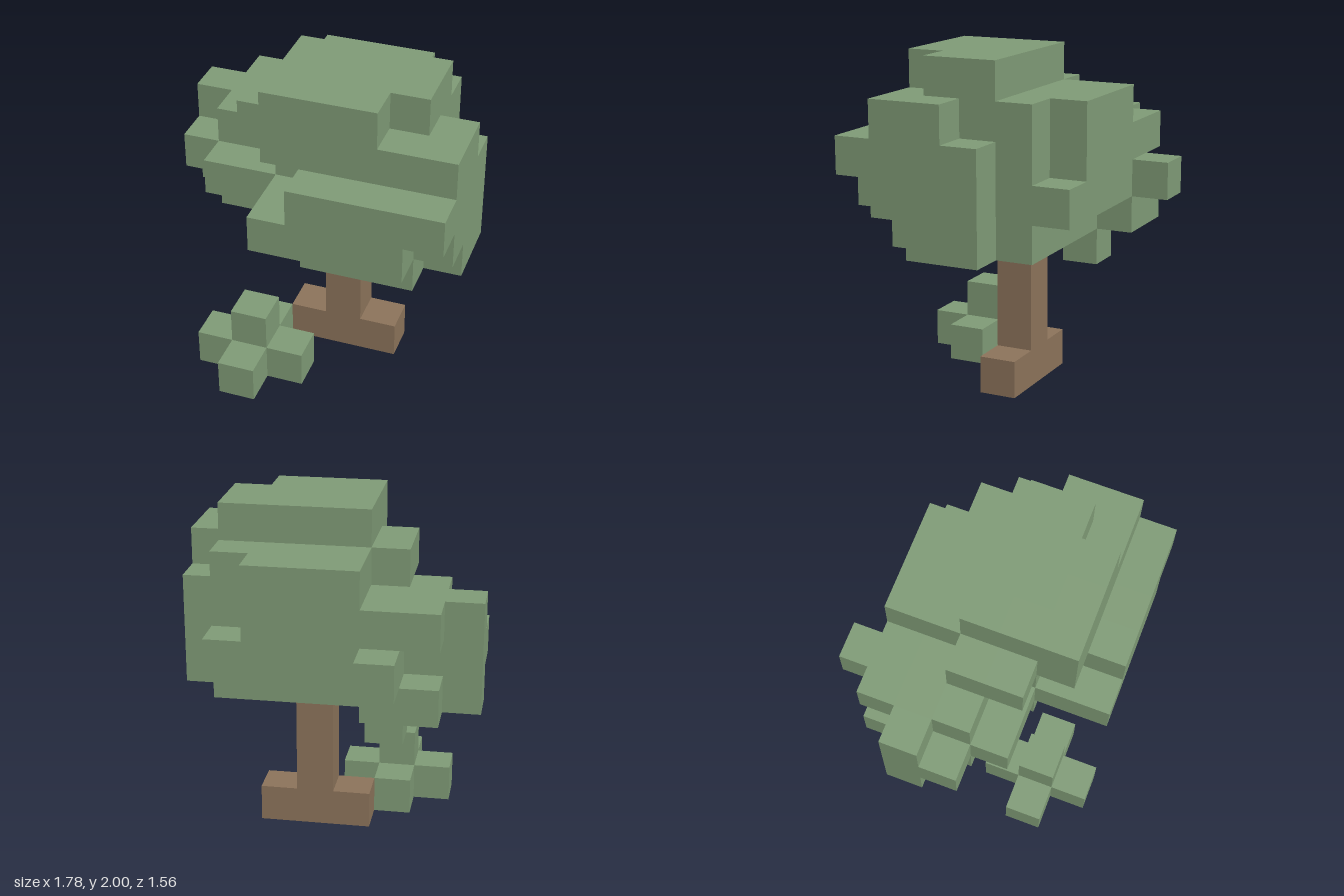
import * as THREE from 'three';

const CELL = 2 / 9; // the tree is nine blocks tall

// Open-bottomed shell: the outer sides and tops of a set of blocks
const SIDES = [
  { dir: [1, 0, 0], quad: [[1, 0, 1], [1, 0, 0], [1, 1, 0], [1, 1, 1]] },
  { dir: [-1, 0, 0], quad: [[0, 0, 0], [0, 0, 1], [0, 1, 1], [0, 1, 0]] },
  { dir: [0, 1, 0], quad: [[0, 1, 1], [1, 1, 1], [1, 1, 0], [0, 1, 0]] },
  { dir: [0, 0, 1], quad: [[0, 0, 1], [1, 0, 1], [1, 1, 1], [0, 1, 1]] },
  { dir: [0, 0, -1], quad: [[1, 0, 0], [0, 0, 0], [0, 1, 0], [1, 1, 0]] },
];

function blockShell(cells) {
  const filled = new Set(cells.map((c) => c.join()));
  const positions = [], normals = [], index = [];
  for (const c of cells) {
    for (const { dir, quad } of SIDES) {
      if (filled.has(c.map((v, a) => v + dir[a]).join())) continue;
      const n = positions.length / 3;
      for (const q of quad) {
        positions.push(
          (c[0] + q[0] - 4) * CELL,
          (c[1] + q[1]) * CELL,
          (c[2] + q[2] - 3.5) * CELL,
        );
        normals.push(...dir);
      }
      index.push(n, n + 1, n + 2, n, n + 2, n + 3);
    }
  }
  const geometry = new THREE.BufferGeometry();
  geometry.setAttribute('position', new THREE.Float32BufferAttribute(positions, 3));
  geometry.setAttribute('normal', new THREE.Float32BufferAttribute(normals, 3));
  geometry.setIndex(index);
  return geometry;
}

// Layers: height -> { depth row: [first column, last column] }
function cellsFromLayers(layers) {
  const cells = [];
  for (const [y, rows] of Object.entries(layers)) {
    for (const [z, [from, to]] of Object.entries(rows)) {
      for (let x = from; x <= to; x++) cells.push([x, Number(y), Number(z)]);
    }
  }
  return cells;
}

const TRUNK = {
  0: { 3: [3, 5] }, // roots
  1: { 3: [4, 4] },
  2: { 3: [4, 4] },
  3: { 3: [4, 4] },
};

const BUSH = {
  0: { 4: [2, 2], 5: [1, 3], 6: [2, 2] },
  1: { 5: [2, 2] },
};

const CANOPY = {
  3: { 2: [2, 2] }, // hanging tuft
  4: { 1: [1, 2], 2: [0, 6], 3: [1, 7], 4: [3, 7], 5: [4, 6] },
  5: { 0: [2, 2], 1: [2, 6], 2: [0, 6], 3: [0, 7], 4: [1, 7], 5: [3, 7], 6: [3, 6] },
  6: { 1: [1, 5], 2: [0, 6], 3: [1, 7], 4: [3, 7], 5: [4, 7], 6: [4, 7] },
  7: { 1: [3, 5], 2: [3, 6], 3: [2, 6], 4: [2, 7], 5: [3, 7] },
  8: { 3: [3, 6], 4: [3, 6], 5: [3, 5] },
};

export function createModel() {
  const leaf = new THREE.MeshStandardMaterial({ color: 0x809c77, side: THREE.DoubleSide });
  leaf.name = 'leaf green';
  const bark = new THREE.MeshStandardMaterial({ color: 0x8d745b, side: THREE.DoubleSide });
  bark.name = 'bark brown';

  const tree = new THREE.Group();
  tree.name = 'tree';
  const parts = [
    ['trunk', TRUNK, bark],
    ['bush', BUSH, leaf],
    ['canopy', CANOPY, leaf],
  ];
  for (const [name, layers, material] of parts) {
    const mesh = new THREE.Mesh(blockShell(cellsFromLayers(layers)), material);
    mesh.name = name;
    tree.add(mesh);
  }
  return tree;
}
